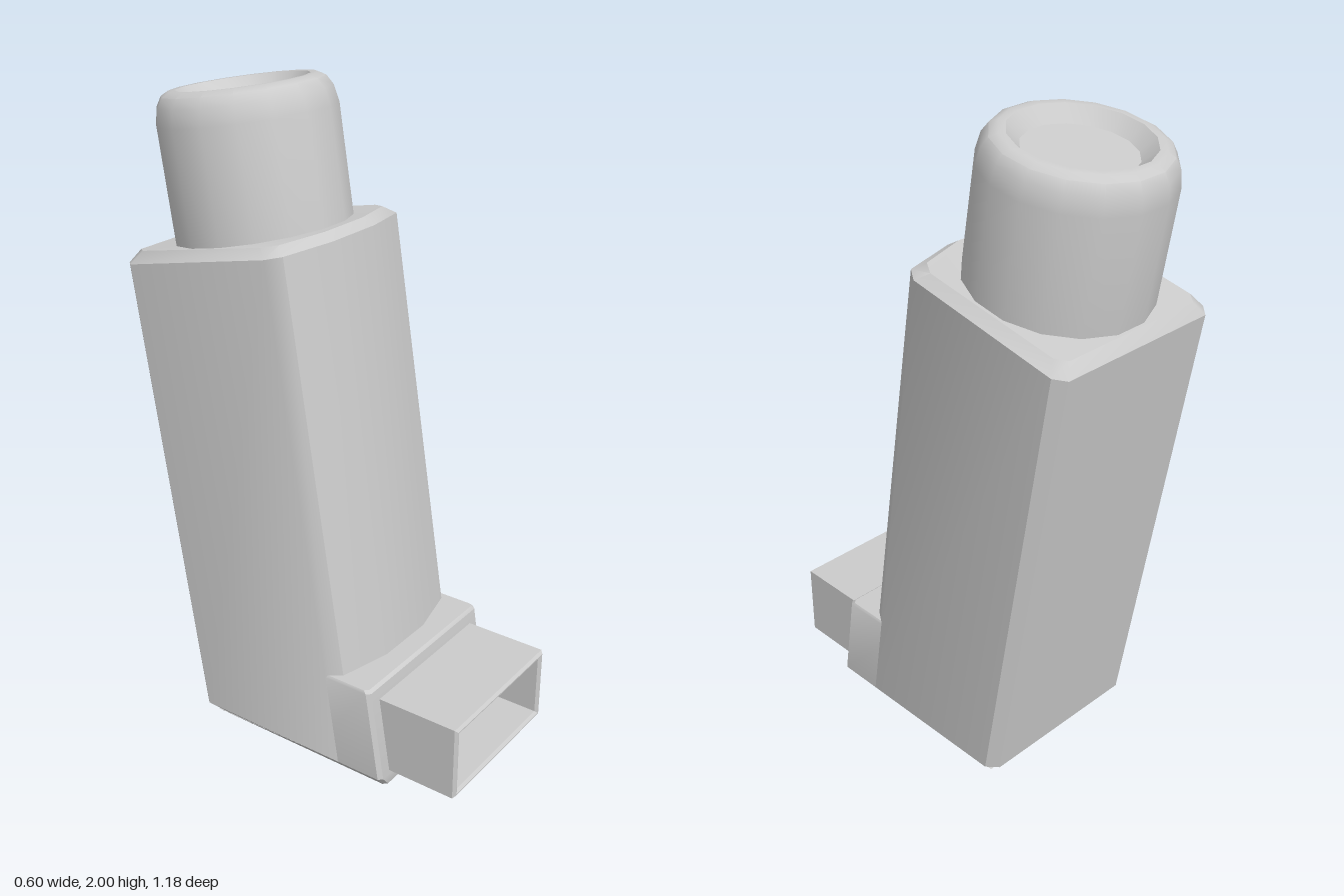
import * as THREE from 'three';
import { toCreasedNormals } from 'three/addons/utils/BufferGeometryUtils.js';

const material = new THREE.MeshStandardMaterial({ color: 0xcccccc });
const LEAN = 0.16; // backward shift of the body per unit of height

// Closed solid through rings of [x, y, z], each counterclockwise seen from above, bottom to top
function loft(rings) {
  const n = rings[0].length;
  const index = [];
  for (let r = 0; r < rings.length - 1; r++) {
    for (let i = 0; i < n; i++) {
      const j = (i + 1) % n;
      const a = r * n + i, b = r * n + j;
      index.push(a, b, b + n, a, b + n, a + n);
    }
  }
  const top = (rings.length - 1) * n;
  for (let i = 1; i < n - 1; i++) {
    index.push(0, i + 1, i, top, top + i, top + i + 1);
  }
  const geometry = new THREE.BufferGeometry();
  geometry.setAttribute('position', new THREE.Float32BufferAttribute(rings.flat(2), 3));
  geometry.setIndex(index);
  return geometry;
}

// Mirrors the +x half of an outline (front to back) into a full ring
function mirror(half) {
  return [...half, ...half.map(([x, z]) => [-x, z]).reverse()];
}

function addPart(group, name, geometry) {
  const mesh = new THREE.Mesh(toCreasedNormals(geometry, 0.6), material);
  mesh.name = name;
  group.add(mesh);
  return mesh;
}

// Leaning housing with a bowed front, chamfered corners and a sloping top
function bodyGeometry() {
  const outline = mirror([[0.1, 0.298], [0.27, 0.258], [0.3, 0.213], [0.3, -0.3], [0.27, -0.333]]);
  const ring = (y0, slope, sx, inset) => outline.map(([x, z]) => {
    const local = z - Math.sign(z) * inset;
    const zz = (local - LEAN * y0) / (1 + LEAN * slope);
    return [x * sx, y0 + slope * zz, zz];
  });
  return loft([
    ring(0.005, 0, 0.89, 0.033),
    ring(0.04, 0, 1, 0),
    ring(1.58, 0.211, 1, 0),
    ring(1.607, 0.2, 0.9, 0.03),
  ]);
}

// Forward foot that carries the mouthpiece
function footGeometry() {
  const ring = (y, w, front, back) =>
    mirror([[w - 0.012, front], [w, front - 0.012], [w, back]]).map(([x, z]) => [x, y, z]);
  return loft([
    ring(0, 0.265, 0.358, -0.297),
    ring(0.04, 0.3, 0.364, 0.1),
    ring(0.325, 0.3, 0.318, 0.08),
    ring(0.333, 0.295, 0.308, 0.08),
  ]);
}

function rectangle(PathType, w, y0, y1) {
  const path = new PathType();
  path.moveTo(-w, y0);
  path.lineTo(w, y0);
  path.lineTo(w, y1);
  path.lineTo(-w, y1);
  path.closePath();
  return path;
}

// Open rectangular tube with a softened rim
function mouthpieceGeometry() {
  const shape = rectangle(THREE.Shape, 0.254, 0.052, 0.29);
  shape.holes.push(rectangle(THREE.Path, 0.234, 0.072, 0.27));
  const bevel = 0.008;
  const geometry = new THREE.ExtrudeGeometry(shape, {
    depth: 0.28 - 2 * bevel,
    bevelEnabled: true,
    bevelThickness: bevel,
    bevelSize: bevel,
    bevelOffset: -bevel,
    bevelSegments: 1,
  });
  geometry.translate(0, 0, 0.31 + bevel);
  return geometry;
}

// Sixteen-sided canister with a rounded shoulder and dished end, origin at the end
function canisterGeometry() {
  const profile = [
    [0, -0.6], [0.265, -0.6], [0.265, -0.09], [0.255, -0.04], [0.238, -0.012],
    [0.215, 0], [0.195, 0], [0.155, -0.04], [0, -0.04],
  ].map(([r, y]) => new THREE.Vector2(r, y));
  return new THREE.LatheGeometry(profile, 16, Math.PI / 16);
}

export function createModel() {
  const model = new THREE.Group();
  model.name = 'inhaler';
  addPart(model, 'body', bodyGeometry());
  addPart(model, 'foot', footGeometry());
  addPart(model, 'mouthpiece', mouthpieceGeometry());
  const canister = addPart(model, 'canister', canisterGeometry());
  canister.position.set(0, 1.966, -0.345);
  canister.rotation.x = -Math.atan(LEAN);
  return model;
}
